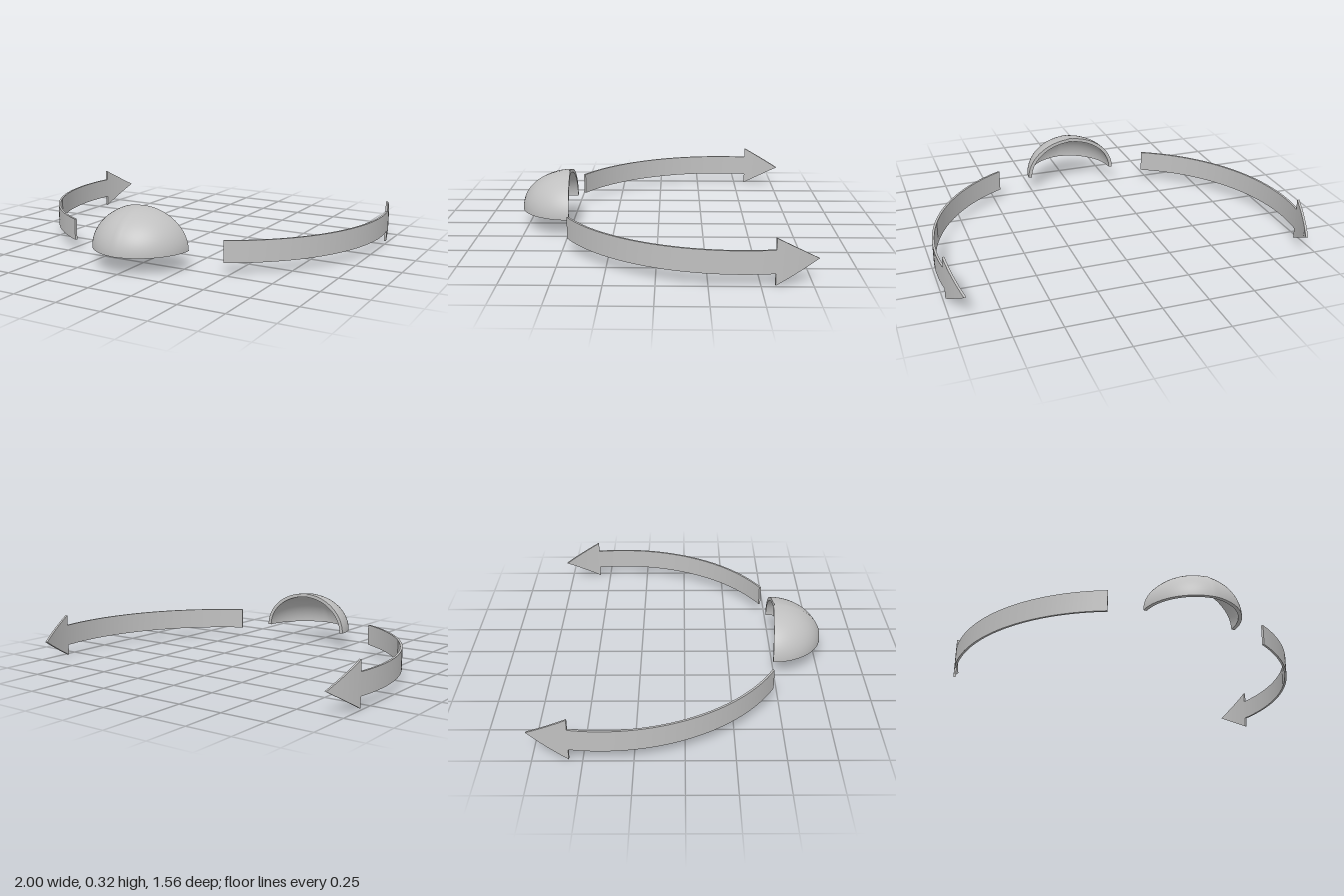
import * as THREE from 'three';

const grey = new THREE.MeshStandardMaterial({ color: 0xc0c0c0 });
grey.name = 'plain grey';

// Surface sampled from fn(u, v) with u and v in 0..1, facing du x dv
function grid(fn, nu, nv) {
  const pos = [], idx = [];
  for (let j = 0; j <= nv; j++)
    for (let i = 0; i <= nu; i++) pos.push(...fn(i / nu, j / nv));
  for (let j = 0; j < nv; j++)
    for (let i = 0; i < nu; i++) {
      const a = j * (nu + 1) + i, b = a + 1, c = a + nu + 1, d = c + 1;
      idx.push(a, b, d, a, d, c);
    }
  const g = new THREE.BufferGeometry();
  g.setAttribute('position', new THREE.Float32BufferAttribute(pos, 3));
  g.setIndex(idx);
  g.computeVertexNormals();
  return g;
}

// Point of the quarter-ellipsoid shell; inset 0 is outside, THICK is inside
const THICK = 0.02;
function domePoint(u, v, inset) {
  const s = Math.sin(u * Math.PI), c = -Math.cos(u * Math.PI);
  const a = v * Math.PI / 2;
  // open back edge leans forward to the middle and ends in a small notch
  const back = 0.505 - 0.014 * Math.abs(c) + (Math.abs(u - 0.5) < 0.001 ? 0.008 * v : 0);
  return [
    (0.272 - inset) * c,
    0.1 + (0.217 - inset) * s * Math.sin(a),
    back + (0.78 - 0.505 - inset) * s * Math.cos(a),
  ];
}

function makeDome() {
  const dome = new THREE.Group();
  dome.name = 'dome';
  const parts = {
    domeOuter: grid((u, v) => domePoint(u, v, 0), 48, 24),
    domeInner: grid((u, v) => domePoint(1 - u, v, THICK), 48, 24),
    domeBottomRim: grid((u, w) => domePoint(u, 0, THICK * (1 - w)), 48, 1),
    domeBackRim: grid((u, w) => domePoint(u, 1, THICK * w), 48, 1),
  };
  for (const [name, geo] of Object.entries(parts)) {
    const mesh = new THREE.Mesh(geo, grey);
    mesh.name = name;
    dome.add(mesh);
  }
  return dome;
}

// Thin box bent round the vertical axis, its height tapering to `taper` at the end
function bentStrip(name, side, startDeg, endDeg, height, taper, segments) {
  const geo = new THREE.BoxGeometry(1, height, 0.012, segments, 1, 1);
  const p = geo.attributes.position;
  for (let i = 0; i < p.count; i++) {
    const s = 0.5 + side * p.getX(i);
    const t = THREE.MathUtils.degToRad(startDeg + (endDeg - startDeg) * s);
    const r = 0.994 + p.getZ(i);
    p.setXYZ(i, side * r * Math.cos(t), 0.119 + p.getY(i) * (1 + (taper - 1) * s), -0.408 + r * Math.sin(t));
  }
  geo.computeVertexNormals();
  const mesh = new THREE.Mesh(geo, grey);
  mesh.name = name;
  return mesh;
}

export function createModel() {
  const model = new THREE.Group();
  model.name = 'domeWithTurnArrows';
  model.add(makeDome());
  // Mirrored curved arrows pointing backwards
  for (const side of [1, -1]) {
    const arrow = new THREE.Group();
    arrow.name = side > 0 ? 'leftArrow' : 'rightArrow';
    arrow.add(
      bentStrip('arrowShaft', side, 62.2, -9.3, 0.118, 1, 40),
      bentStrip('arrowHead', side, -9.3, -22, 0.236, 0, 10),
    );
    model.add(arrow);
  }
  return model;
}
